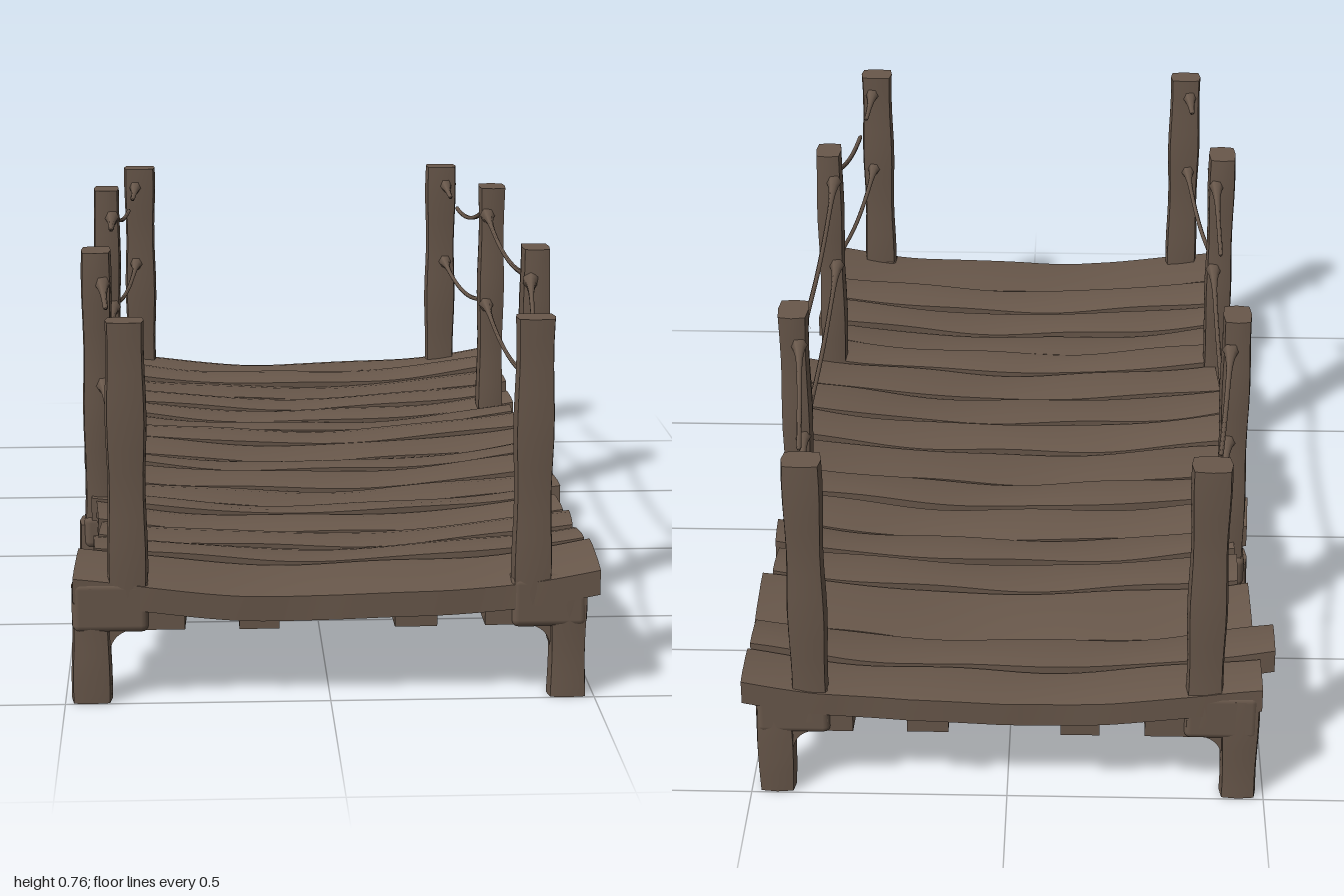
import * as THREE from 'three';
import { RoundedBoxGeometry } from 'three/addons/geometries/RoundedBoxGeometry.js';

const wood = new THREE.MeshStandardMaterial({ color: 0x69584b });
wood.name = 'weathered wood';

// Height of the sagging deck surface across the width
const sag = (x) => 0.225 + 0.16 * x * x;

// Move every vertex by a rule, then refresh the normals
function warp(geometry, rule) {
  const p = geometry.attributes.position;
  const v = new THREE.Vector3();
  for (let i = 0; i < p.count; i++) {
    v.fromBufferAttribute(p, i);
    rule(v);
    p.setXYZ(i, v.x, v.y, THREE.MathUtils.clamp(v.z, -1, 1));
  }
  geometry.computeVertexNormals();
  return geometry;
}

function add(parent, name, geometry) {
  const mesh = new THREE.Mesh(geometry, wood);
  mesh.name = name;
  parent.add(mesh);
  return mesh;
}

// Upright timber with slightly uneven faces, from y0 to y1
function timber(x, z, y0, y1, w, d) {
  const g = new THREE.BoxGeometry(w, y1 - y0, d, 2, 12, 2);
  g.translate(x, (y0 + y1) / 2, z);
  return warp(g, (v) => {
    const corner = Math.abs(v.x - x) > w * 0.4 && Math.abs(v.z - z) > d * 0.4;
    const s = (corner ? 0.88 : 1) * (1 + 0.05 * Math.sin(v.y * 23 + x * 9 + z * 5));
    v.x = x + (v.x - x) * s;
    v.z = z + (v.z - z) * s;
  });
}

// Hanging rope between a and b, thick at the knots, drawn from t0 to t1
function rope(a, b, drop, t0, t1) {
  const at = (t) => a.clone().lerp(b, t).add(new THREE.Vector3(0, -4 * drop * t * (1 - t), 0));
  const points = [];
  for (let i = 0; i <= 10; i++) points.push(at(t0 + (t1 - t0) * i / 10));
  const curve = new THREE.CatmullRomCurve3(points);
  const g = new THREE.TubeGeometry(curve, 30, 1, 6, false);
  const p = g.attributes.position;
  for (let ring = 0; ring <= 30; ring++) {
    const c = curve.getPointAt(ring / 30);
    const t = t0 + (t1 - t0) * ring / 30;
    const r = 0.005 + 0.013 * Math.exp(-Math.min(t, 1 - t) * 22);
    const cut = (ring === 0 && t0 > 0) || (ring === 30 && t1 < 1) ? 0.2 : 1;
    for (let j = 0; j <= 6; j++) {
      const k = ring * 7 + j;
      p.setXYZ(k, c.x + (p.getX(k) - c.x) * r * cut,
        c.y + (p.getY(k) - c.y) * r * cut, c.z + (p.getZ(k) - c.z) * r * cut);
    }
  }
  return g;
}

export function createModel() {
  const bridge = new THREE.Group();
  bridge.name = 'footbridge';

  // Deck planks: [back z, front z, left end, right end]
  const planks = [
    [-1, -0.885, -0.49, 0.51], [-0.878, -0.775, -0.52, 0.505], [-0.768, -0.6, -0.48, 0.51],
    [-0.592, -0.49, -0.46, 0.49], [-0.474, -0.382, -0.455, 0.5], [-0.377, -0.268, -0.49, 0.49],
    [-0.255, -0.152, -0.46, 0.51], [-0.146, -0.01, -0.45, 0.49], [0.001, 0.108, -0.49, 0.51],
    [0.12, 0.24, -0.48, 0.51], [0.252, 0.374, -0.45, 0.51], [0.379, 0.463, -0.46, 0.48],
    [0.468, 0.57, -0.45, 0.49], [0.583, 0.688, -0.44, 0.5], [0.703, 0.807, -0.45, 0.5],
    [0.813, 1, -0.48, 0.51],
  ];
  const deck = new THREE.Group();
  deck.name = 'deck';
  bridge.add(deck);
  planks.forEach(([z0, z1, x0, x1], i) => {
    const g = new THREE.BoxGeometry(x1 - x0, 0.052, z1 - z0, 28, 1, 4);
    g.translate((x0 + x1) / 2, -0.026, (z0 + z1) / 2);
    const mid = (z0 + z1) / 2;
    const lift = 0.004 * Math.sin(i * 2.4);
    add(deck, 'plank', warp(g, (v) => {
      const side = (v.z - mid) / (z1 - z0) * 2;
      const edge = Math.abs(side) > 0.9;
      v.y += sag(v.x) + lift - 0.002 + 0.003 * Math.sin(v.x * 13 + i * 1.7);
      if (edge && v.y > sag(v.x) - 0.02) v.y -= 0.004;
      v.y += side * 0.004 * Math.sin(i * 4.1);
      if (Math.abs(mid) < 0.85 || edge) v.z += 0.004 * side * Math.sin(v.x * 17 + i * 2.9);
      v.x += 0.008 * side * Math.sin(i * 3.3) * Math.abs(v.x);
    }));
  });

  // Long beams under the deck
  for (const [x, w] of [[-0.335, 0.13], [-0.138, 0.075], [0.157, 0.08], [0.345, 0.1]]) {
    const g = new THREE.BoxGeometry(w, 0.045, 1.98, 2, 1, 40);
    g.translate(x, 0.168, 0);
    add(bridge, 'beam', warp(g, (v) => {
      v.x += 0.004 * Math.sin(v.z * 11 + x * 20);
      v.y += 0.002 * Math.sin(v.z * 17 + x * 30);
    }));
  }

  for (const s of [-1, 1]) {
    for (const e of [-1, 1]) {
      // End post set inward, its leg set outward, and the block joining them
      add(bridge, 'endPost', timber(s * 0.38, e * 0.968, 0.17, 0.735, 0.074, 0.062));
      add(bridge, 'endLeg', timber(s * 0.45, e * 0.966, 0.005, 0.23, 0.074, 0.066));
      const block = new RoundedBoxGeometry(0.145, 0.1, 0.066, 2, 0.015);
      block.translate(s * 0.413, 0.192, e * 0.966);
      add(bridge, 'cornerBlock', block);

      // Curved bracket inside the leg
      const shape = new THREE.Shape();
      shape.moveTo(0, 0.06);
      shape.lineTo(0, 0);
      shape.quadraticCurveTo(0.005, 0.04, 0.05, 0.045);
      shape.lineTo(0.05, 0.06);
      const bracket = add(bridge, 'legBracket',
        new THREE.ExtrudeGeometry(shape, { depth: 0.055, bevelEnabled: false }));
      bracket.rotation.y = s > 0 ? Math.PI : 0;
      bracket.position.set(s * 0.415, 0.105, e * 0.967 - (s > 0 ? -0.0275 : 0.0275));

      // Middle post with a thicker leg and collar
      add(bridge, 'middlePost', timber(s * 0.448, e * 0.41, 0.15, 0.768, 0.06, 0.084));
      add(bridge, 'middleLeg', timber(s * 0.452, e * 0.41, 0.005, 0.2, 0.074, 0.078));
      const joint = new RoundedBoxGeometry(0.11, 0.07, 0.09, 2, 0.015);
      joint.translate(s * 0.425, 0.185, e * 0.41);
      add(bridge, 'middleJoint', joint);
    }

    // Rope rails: two heights over three spans, the upper ones frayed apart
    const stops = [[0.39, 0.945], [0.435, 0.445], [0.435, 0.375],
      [0.435, -0.375], [0.435, -0.445], [0.39, -0.945]];
    const frayed = s > 0
      ? [[[0, 0.2], [0.35, 1]], [[0, 1]], [[0, 0.7], [0.85, 1]]]
      : [[[0, 0.12], [0.8, 1]], [[0, 0.42], [0.88, 1]], [[0, 0.7], [0.85, 1]]];
    for (let k = 0; k < 3; k++) {
      const [p, q] = [stops[k * 2], stops[k * 2 + 1]];
      const end = (c, y) => new THREE.Vector3(s * c[0], y, c[1]);
      add(bridge, 'lowerRope', rope(end(p, 0.495), end(q, 0.495), k === 1 ? 0.027 : 0.03, 0, 1));
      for (const [t0, t1] of frayed[k]) {
        add(bridge, 'upperRope', rope(end(p, k === 0 ? 0.69 : 0.705),
          end(q, k === 2 ? 0.69 : 0.705), k === 1 ? 0.03 : 0.045, t0, t1));
      }
    }
  }
  return bridge;
}
